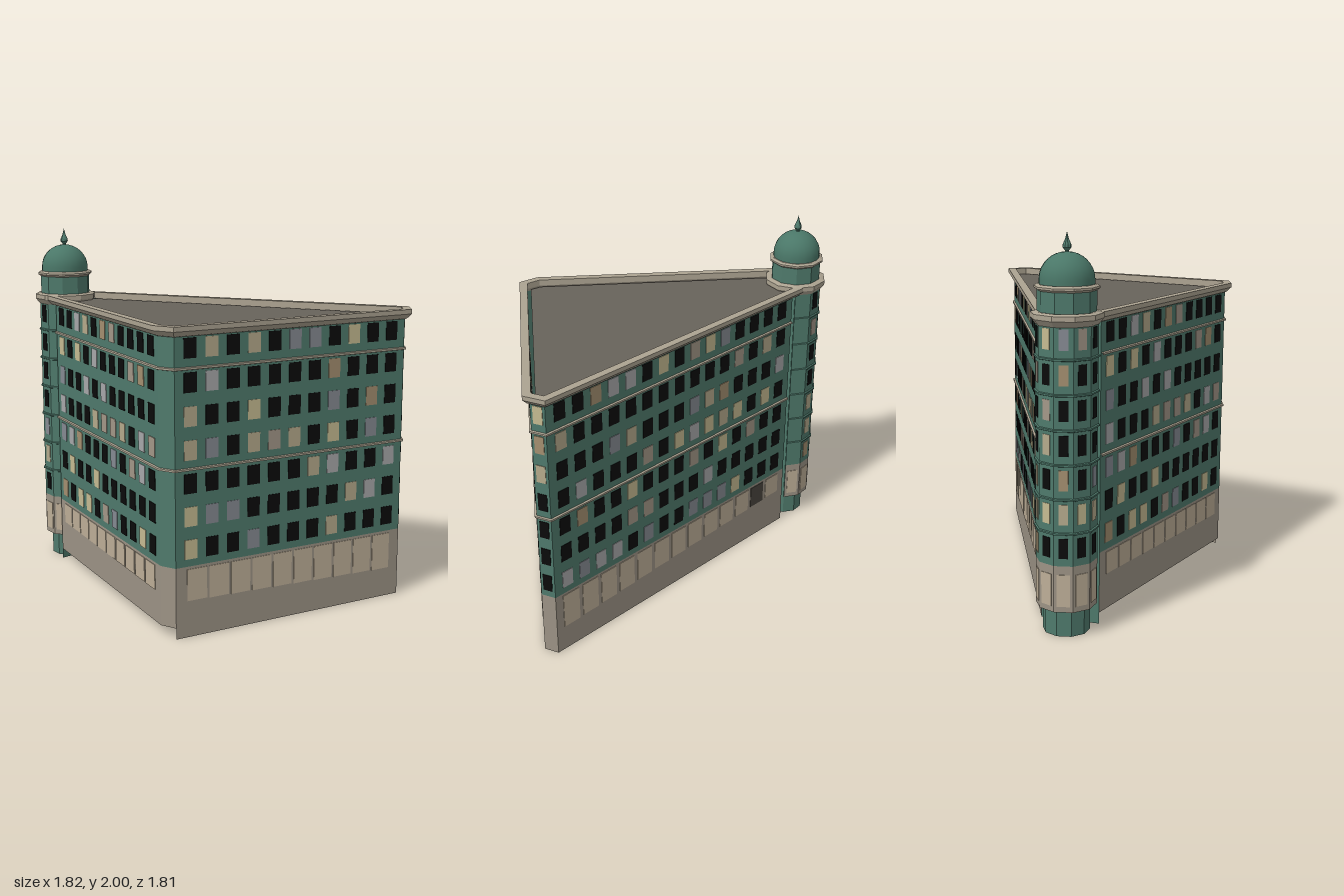
import * as THREE from 'three';
import { mergeGeometries } from 'three/addons/utils/BufferGeometryUtils.js';

const mat = (color, flatShading = true) =>
  new THREE.MeshStandardMaterial({ color, flatShading, side: THREE.DoubleSide });
const green = mat(0x4f7a6c), stone = mat(0x9c9385), trim = mat(0xaca391), roofGrey = mat(0x68635b);
const domeGreen = mat(0x4a7768, false);
const panelColors = [0x0b0b0b, 0xc6bb92, 0xa48f70, 0xa8a8aa, 0xa39788, 0xb5aa8c, 0x868a92, 0xbdae97, 0x4a463f];
const SHOP = 7, DARK_SHOP = 8;

// Street outline [x, z], running from the tower round to the tower again
const outline = [[-0.54, -0.71], [0.87, 0.55], [0.84, 0.63], [-0.535, 0.87], [-0.595, 0.8], [-0.82, -0.58]];
const BASE_TOP = 0.38, WALL_TOP = 1.58, TX = -0.73, TZ = -0.73, ORIEL = 0.155;
const floorY = i => 0.47 + 0.172 * i;

// Small seeded generator for the window colours
let seed = 11;
const rand = () => (seed = (seed * 16807) % 2147483647) / 2147483647;
const windowColor = () => (rand() < 0.58 ? 0 : 1 + Math.floor(rand() * 6));

const dirOf = (p, q) => {
  const l = Math.hypot(q[0] - p[0], q[1] - p[1]);
  return [(q[0] - p[0]) / l, (q[1] - p[1]) / l];
};

// Moves an open path outward by d, with mitred corners
function offsetPath(path, d) {
  return path.map((p, i) => {
    const a = dirOf(path[Math.max(i - 1, 0)], path[Math.max(i, 1)]);
    const n = path.length - 1;
    const b = dirOf(path[Math.min(i, n - 1)], path[Math.min(i + 1, n)]);
    const k = d / (1 + a[0] * b[0] + a[1] * b[1]);
    return [p[0] + (a[1] + b[1]) * k, p[1] - (a[0] + b[0]) * k];
  });
}

// Sweeps a profile of [outward, y] points along a path
function sweep(path, profile) {
  const rails = profile.map(([d, y]) => offsetPath(path, d).map(p => [p[0], y, p[1]]));
  const pos = [];
  for (let r = 0; r < rails.length - 1; r++) {
    for (let i = 0; i < path.length - 1; i++) {
      const a = rails[r][i], b = rails[r][i + 1], c = rails[r + 1][i + 1], d = rails[r + 1][i];
      pos.push(...a, ...c, ...b, ...a, ...d, ...c);
    }
  }
  const g = new THREE.BufferGeometry();
  g.setAttribute('position', new THREE.Float32BufferAttribute(pos, 3));
  g.computeVertexNormals();
  return g;
}

export function createModel() {
  const root = new THREE.Group();
  root.name = 'cornerBuilding';
  const add = (name, geometry, material, parent = root) => {
    const m = new THREE.Mesh(geometry, material);
    m.name = name;
    parent.add(m);
    return m;
  };

  // Thin panels are gathered by colour and merged at the end
  const buckets = panelColors.map(() => []);
  const panel = (x, z, nx, nz, w, y0, y1, color) => {
    const g = new THREE.BoxGeometry(w, y1 - y0, 0.006);
    g.rotateY(Math.atan2(nx, nz));
    buckets[color].push(g.translate(x, (y0 + y1) / 2, z));
  };

  // Walls: stone ground floor, green upper floors
  const [A, B, C, D, E, F] = outline;
  add('groundFloorWall', sweep([A, B, C, D], [[0, 0], [0, BASE_TOP]]), stone);
  add('raisedGroundFloorWall', sweep([D, E, F], [[0, 0.06], [0, BASE_TOP]]), stone);
  add('upperWall', sweep(outline, [[0, BASE_TOP], [0, WALL_TOP]]), green);
  add('towerSideWall', sweep([F, A], [[0, 0], [0, WALL_TOP]]), green);

  // Two string courses
  for (const y of [0.888, 1.4])
    add('stringCourse', sweep(outline, [[0, y - 0.008], [0.01, y - 0.005], [0.01, y + 0.005], [0, y + 0.008]]), trim);

  // Cornice, run a little way into the tower
  const extend = (p, q, s) => { const d = dirOf(p, q); return [q[0] + d[0] * s, q[1] + d[1] * s]; };
  const cornicePath = [extend(B, A, 0.05), B, C, D, E, extend(E, F, 0.04)];
  add('cornice', sweep(cornicePath,
    [[0, 1.56], [0.012, 1.565], [0.035, 1.59], [0.035, 1.615], [-0.01, 1.615], [-0.01, 1.58], [0, 1.56]]), trim);

  // Flat roof, slightly inset from the parapet
  const roof = new THREE.Shape(offsetPath(outline, -0.03).map(([x, z]) => new THREE.Vector2(x, -z)));
  add('roof', new THREE.ShapeGeometry(roof).rotateX(-Math.PI / 2).translate(0, 1.58, 0), roofGrey);

  // Windows and shopfronts of the three long walls; shop sills follow the sloping street
  const facades = [
    { p: A, q: B, windows: 15, margin: 0.048, shops: 13, shopMargin: 0.058, sill: [0.24, 0.15], dark: 1 },
    { p: C, q: D, windows: 11, margin: 0.062, shops: 10, shopMargin: 0.087, sill: [0.16, 0.2], dark: -1 },
    { p: E, q: F, windows: 11, margin: 0.062, shops: 10, shopMargin: 0.087, sill: [0.23, 0.25], dark: -1 },
  ];
  for (const f of facades) {
    const [dx, dz] = dirOf(f.p, f.q);
    const at = t => [f.p[0] + (f.q[0] - f.p[0]) * t, f.p[1] + (f.q[1] - f.p[1]) * t];
    for (let i = 0; i < f.windows; i++) {
      const [x, z] = at(f.margin + (1 - 2 * f.margin) * i / (f.windows - 1));
      for (let k = 0; k < 7; k++)
        panel(x, z, dz, -dx, 0.072, floorY(k) - 0.051, floorY(k) + 0.051, windowColor());
    }
    for (let i = 0; i < f.shops; i++) {
      const t = f.shopMargin + (1 - 2 * f.shopMargin) * i / (f.shops - 1);
      const [x, z] = at(t);
      panel(x, z, dz, -dx, 0.114, THREE.MathUtils.lerp(...f.sill, t), 0.365, i === f.dark ? DARK_SHOP : SHOP);
    }
  }
  // One window column on the right-hand cut corner
  const cut = dirOf(B, C);
  for (let k = 0; k < 7; k++)
    panel((B[0] + C[0]) / 2, (B[1] + C[1]) / 2, cut[1], -cut[0], 0.055, floorY(k) - 0.051, floorY(k) + 0.051, windowColor());

  // Ten-sided corner tower
  const tower = new THREE.Group();
  tower.name = 'cornerTower';
  tower.position.set(TX, 0, TZ);
  root.add(tower);
  const STEP = Math.PI / 5, FACES = 7;
  const ring = (name, pts, material, sides = 10, n = sides) =>
    add(name, new THREE.LatheGeometry(pts.map(p => new THREE.Vector2(...p)), n, Math.PI / 2, n / sides * Math.PI * 2), material, tower);

  ring('towerCore', [[0, 0], [0.12, 0], [0.12, 1.58]], green);
  ring('orielBase', [[0.12, 0.14], [ORIEL, 0.14], [ORIEL, BASE_TOP]], stone, 10, FACES);
  ring('orielWall', [[ORIEL, BASE_TOP], [ORIEL, 1.58]], green, 10, FACES);
  for (let k = 0; k < 6; k++) {
    const y = 0.545 + 0.172 * k;
    ring('orielBand', [[ORIEL, y - 0.007], [ORIEL + 0.008, y - 0.004], [ORIEL + 0.008, y + 0.004], [ORIEL, y + 0.007]], green, 10, FACES);
  }
  // Returns closing both ends of the oriel against the core
  for (const a of [0, FACES * STEP]) {
    const g = new THREE.BoxGeometry(0.04, 1.44, 0.003).translate(0.134, 0.86, 0).rotateY(a);
    add('orielReturn', g, green, tower);
  }
  // Oriel panels: shopfront on every face, windows on the five outer faces
  for (let i = 0; i < FACES; i++) {
    const a = (i + 0.5) * STEP, nx = Math.cos(a), nz = -Math.sin(a), r = ORIEL * Math.cos(STEP / 2);
    const x = TX + nx * r, z = TZ + nz * r;
    panel(x, z, nx, nz, 0.066, 0.17, 0.335, SHOP);
    if (i > 0 && i < FACES - 1)
      for (let k = 0; k < 7; k++) panel(x, z, nx, nz, 0.046, floorY(k) - 0.051, floorY(k) + 0.051, windowColor());
  }

  // Tower cornice, drum, dome and finial
  ring('towerCornice', [[0.12, 1.56], [0.157, 1.56], [0.18, 1.59], [0.18, 1.615], [0.157, 1.622], [0.1, 1.622]], trim);
  ring('drum', [[0.146, 1.615], [0.146, 1.735]], green);
  ring('drumCornice', [[0.146, 1.722], [0.161, 1.733], [0.161, 1.743], [0.146, 1.752], [0.1, 1.752]], trim);
  const dome = [[0.136, 1.745], [0.136, 1.775]];
  for (let i = 1; i <= 8; i++) {
    const a = i / 8 * Math.PI / 2;
    dome.push([0.136 * Math.cos(a), 1.775 + 0.13 * Math.sin(a)]);
  }
  ring('dome', dome, domeGreen, 20);
  ring('finial', [[0.012, 1.895], [0.01, 1.91], [0.022, 1.925], [0.021, 1.938], [0.009, 1.965], [0, 2]], green, 10);

  // Merged window and shopfront panels
  buckets.forEach((list, i) => {
    if (list.length) add(i >= SHOP ? 'shopfronts' : 'windows', mergeGeometries(list), mat(panelColors[i]));
  });
  return root;
}
